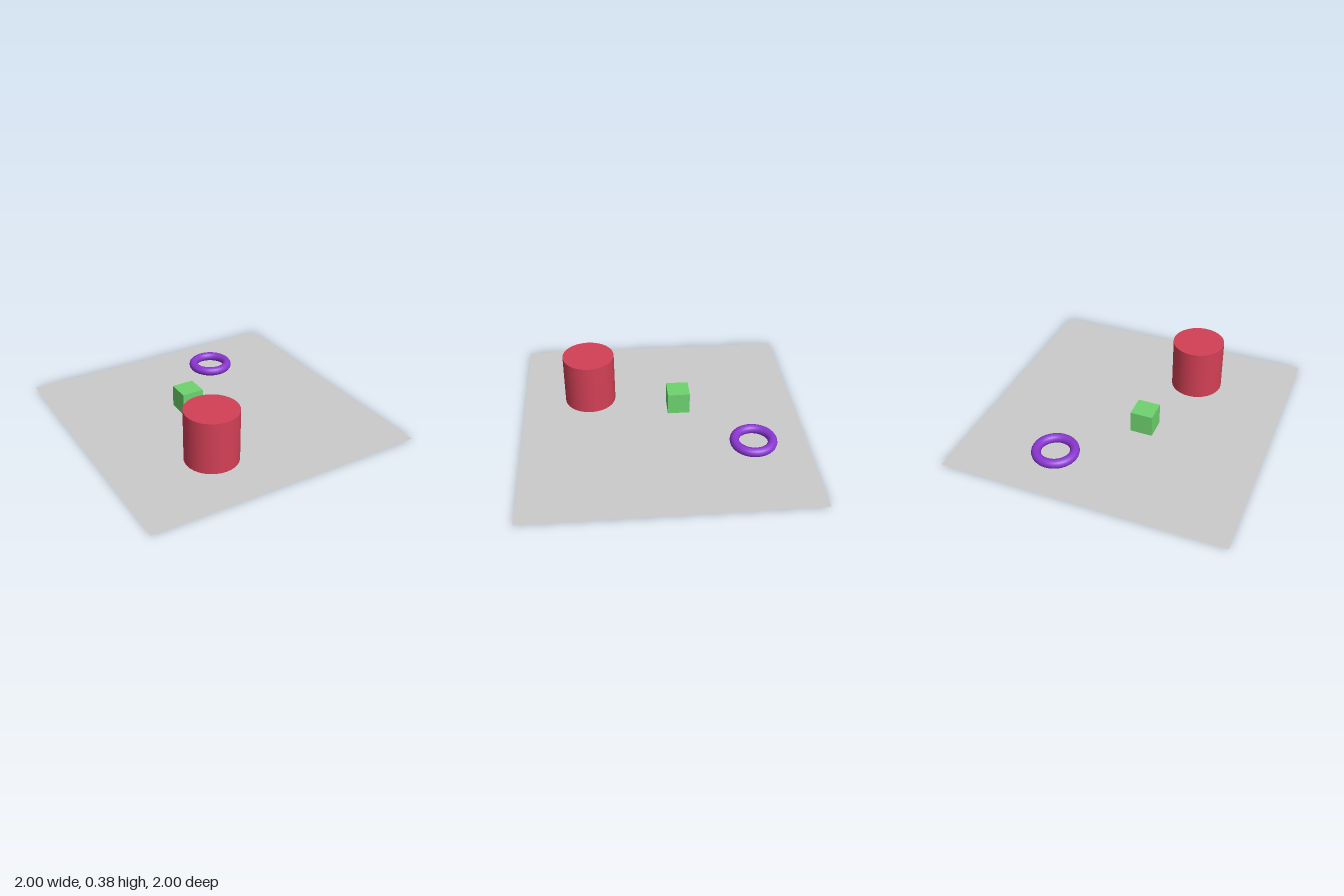
import * as THREE from 'three';

export function createModel() {
  const group = new THREE.Group();

  const add = (name, geometry, color, x, y, z, side = THREE.FrontSide) => {
    const mesh = new THREE.Mesh(geometry, new THREE.MeshStandardMaterial({ color, side }));
    mesh.name = name;
    mesh.position.set(x, y, z);
    group.add(mesh);
    return mesh;
  };

  // Thin square floor; the ring dips very slightly through it
  const floor = new THREE.PlaneGeometry(2, 2).rotateX(-Math.PI / 2);
  add('floor', floor, 0xcccccc, 0, 0.002, 0, THREE.DoubleSide);

  // Red drum, hovering just above the floor
  add('cylinder', new THREE.CylinderGeometry(0.187, 0.187, 0.374, 32), 0xd34055, -0.31, 0.197, 0.51);

  // Green cube
  add('cube', new THREE.BoxGeometry(0.16, 0.16, 0.16), 0x6ed36e, -0.135, 0.095, -0.135);

  // Purple ring lying flat
  const ring = new THREE.TorusGeometry(0.133, 0.033, 16, 64).rotateX(-Math.PI / 2);
  add('ring', ring, 0x8a36d0, 0.333, 0.033, -0.62);

  return group;
}
